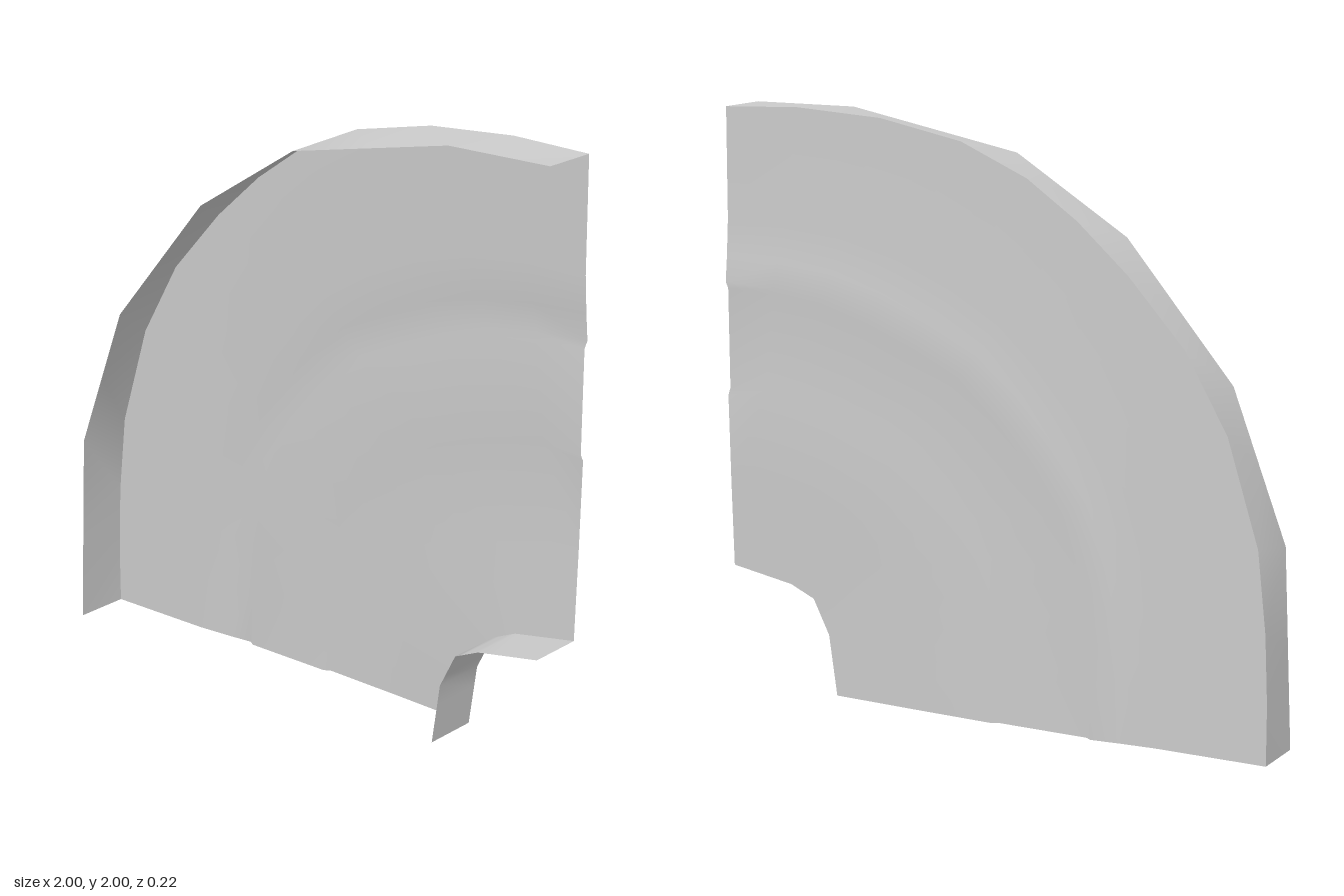
import * as THREE from 'three';

const SEGS = 12;
const material = new THREE.MeshStandardMaterial({ color: 0xcccccc, side: THREE.DoubleSide });
const toPoints = (list) => list.map(([x, y]) => new THREE.Vector2(x, y));

// Straight-sided outline, cut into SEGS steps that keep its corners
function polyline(list) {
  const pts = toPoints(list);
  const per = SEGS / (pts.length - 1);
  return Array.from({ length: SEGS + 1 }, (_, i) => {
    const k = Math.min(Math.floor(i / per), pts.length - 2);
    return pts[k].clone().lerp(pts[k + 1], i / per - k);
  });
}

// Smooth guide curve cut into SEGS equal steps
const smooth = (list) => new THREE.SplineCurve(toPoints(list)).getSpacedPoints(SEGS);
const between = (a, b, t) => a.map((p, i) => p.clone().lerp(b[i], t));

// Surface through rows of [outline, z], ordered so its faces look along -z / outward
function loft(name, rows) {
  const pos = [], idx = [], n = SEGS + 1;
  rows.forEach(([outline, z]) => outline.forEach((p) => pos.push(p.x, p.y, z)));
  for (let r = 0; r < rows.length - 1; r++) {
    for (let i = 0; i < SEGS; i++) {
      const a = r * n + i, b = a + n;
      idx.push(a, b, a + 1, a + 1, b, b + 1);
    }
  }
  const geo = new THREE.BufferGeometry();
  geo.setAttribute('position', new THREE.Float32BufferAttribute(pos, 3));
  geo.setIndex(idx);
  geo.computeVertexNormals();
  const mesh = new THREE.Mesh(geo, material);
  mesh.name = name;
  return mesh;
}

export function createModel() {
  const group = new THREE.Group();
  group.name = 'curvedPanel';
  const back = -0.088, front = 0.107;

  // Outlines, each running from the straight side edge to the bottom edge
  const rim = polyline([[1, 1.99], [0.72, 2], [0.4, 1.98], [0.1, 1.92], [-0.14, 1.815], [-0.32, 1.69],
    [-0.5, 1.53], [-0.7, 1.31], [-0.85, 1.05], [-0.96, 0.7], [-0.99, 0.43], [-1, 0.2], [-1, 0]]);
  const rimFront = polyline([[1, 1.99], [0.62, 1.99], [0, 1.87], [-0.4, 1.62], [-0.78, 1.17], [-0.97, 0.67], [-1, 0]]);
  const grooveOuter = smooth([[1, 1.4], [0.6, 1.36], [0.2, 1.21], [0, 1.08], [-0.28, 0.74], [-0.38, 0.38], [-0.39, 0]]);
  const grooveInner = smooth([[1, 1.01], [0.8, 1.005], [0.4, 0.89], [0.18, 0.72], [0.04, 0.52], [-0.005, 0.3], [-0.02, 0]]);
  const cutout = polyline([[1, 0.41], [0.77, 0.37], [0.68, 0.33], [0.62, 0.21], [0.59, 0]]);

  // Back sheet, swelling towards a shallow recessed band
  group.add(loft('backSheet', [
    [rim, back],
    [between(rim, grooveOuter, 0.64), back - 0.002],
    [between(rim, grooveOuter, 0.85), -0.1],
    [grooveOuter, -0.11],
    [between(grooveOuter, grooveInner, 0.06), -0.096],
    [between(grooveOuter, grooveInner, 0.94), -0.094],
    [grooveInner, -0.107],
    [between(grooveInner, cutout, 0.5), -0.099],
    [cutout, back],
  ]));

  // Flanges reaching forward along the outer arc and the cut-out corner
  group.add(loft('outerFlange', [[rimFront, front], [rim, back]]));
  group.add(loft('innerFlange', [[cutout, back], [cutout, front]]));
  return group;
}
